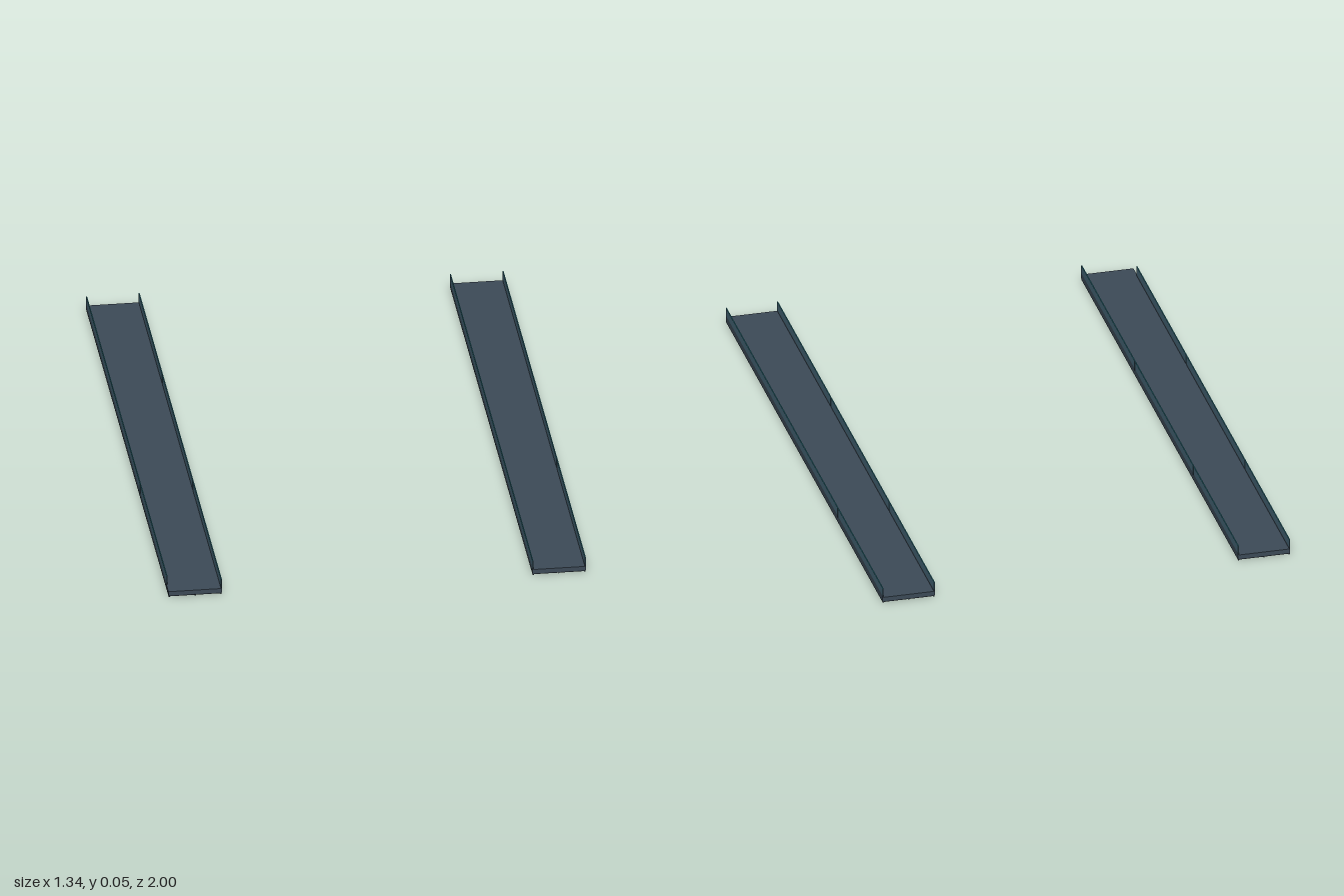
import * as THREE from 'three';

const material = (name, color) => {
  const m = new THREE.MeshStandardMaterial({ color });
  m.name = name;
  return m;
};

export function createModel() {
  const deckMat = material('slate deck', 0x3c4a57);
  const underMat = material('dark underside', 0x2a333c);
  const railMat = material('blue grey panel', 0x466878);
  const capMat = material('teal edging', 0x2f7f8c);
  const lampMat = material('amber lamp', 0xc98a3c);

  const box = (parent, name, mat, size, pos) => {
    const mesh = new THREE.Mesh(new THREE.BoxGeometry(...size), mat);
    mesh.name = name;
    mesh.position.set(...pos);
    parent.add(mesh);
  };

  const model = new THREE.Group();
  model.name = 'walkways';

  for (const side of [-1, 1]) {
    const walkway = new THREE.Group();
    walkway.name = side > 0 ? 'leftWalkway' : 'rightWalkway';
    walkway.position.x = side * 0.585;
    model.add(walkway);

    // Deck slab with a darker plate beneath
    box(walkway, 'deck', deckMat, [0.172, 0.014, 2], [0, 0.012, 0]);
    box(walkway, 'undersidePlate', underMat, [0.17, 0.002, 1.998], [0, 0.004, 0]);

    // Ribs under the deck: long rails and regular crosspieces
    for (const x of [-0.083, 0, 0.083])
      box(walkway, 'longRib', underMat, [0.004, 0.004, 2], [x, 0.002, 0]);
    for (let i = 0; i <= 16; i++)
      box(walkway, 'crossRib', underMat, [0.168, 0.003, 0.005], [0, 0.0025, -0.995 + i * 1.99 / 16]);

    // Small lamps along the centre line
    for (let i = 0; i < 8; i++)
      box(walkway, 'underLamp', lampMat, [0.008, 0.003, 0.012], [0, 0.0015, -0.875 + i * 0.25]);

    // Thin side panels in three lengths, on a low kerb and edged on top
    for (const edge of [-1, 1]) {
      const x = edge * 0.0845;
      const outerRight = side < 0 && edge < 0;
      const joints = [-1, -0.43, 0.315, outerRight ? 0.95 : 1];
      for (let i = 0; i < 3; i++) {
        const from = joints[i] + (i > 0 ? 0.002 : 0);
        const to = joints[i + 1] - (i < 2 ? 0.002 : 0);
        const length = to - from, z = (from + to) / 2;
        box(walkway, 'kerb', deckMat, [0.003, 0.006, length], [x, 0.022, z]);
        box(walkway, 'sidePanel', railMat, [0.003, 0.025, length], [x, 0.0375, z]);
        box(walkway, 'panelEdging', capMat, [0.003, 0.002, length], [x, 0.051, z]);
      }
    }
  }
  return model;
}
